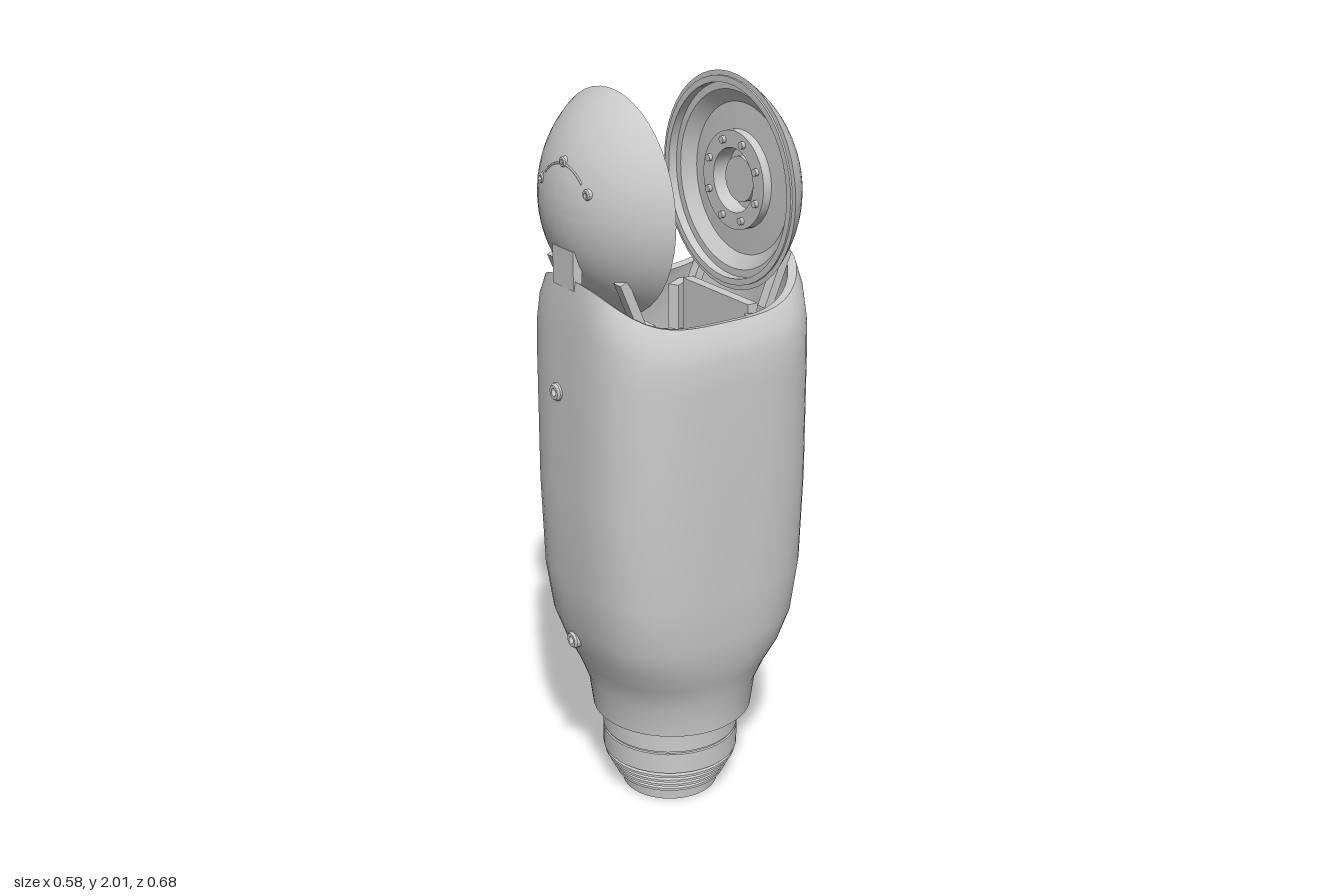
import * as THREE from 'three';
import { toCreasedNormals } from 'three/addons/utils/BufferGeometryUtils.js';

const mat = new THREE.MeshStandardMaterial({ color: 0xcccccc, side: THREE.DoubleSide });
const CX = -0.01; // axis of the neck and domes

function add(parent, name, geo, x = 0, y = 0, z = 0) {
  const m = new THREE.Mesh(geo, mat);
  m.name = name;
  m.position.set(x, y, z);
  parent.add(m);
  return m;
}

const lathe = (pts, seg = 48) =>
  toCreasedNormals(new THREE.LatheGeometry(pts.map(p => new THREE.Vector2(...p)), seg), 0.5);

// Rounded-rectangle rings [y, rx, rz, exponent, rise]; rise lifts the front and back of a ring
function loft(rings, seg = 64) {
  const pos = [], idx = [];
  for (const [y, rx, rz, n, rise] of rings) {
    for (let j = 0; j < seg; j++) {
      const t = j / seg * Math.PI * 2, c = Math.cos(t), s = Math.sin(t);
      const k = Math.pow(Math.abs(c) ** n + Math.abs(s) ** n, -1 / n);
      pos.push(rx * c * k, y + rise * Math.abs(s * k) ** 4, rz * s * k);
    }
  }
  for (let i = 0; i < rings.length - 1; i++) {
    for (let j = 0; j < seg; j++) {
      const a = i * seg + j, b = i * seg + (j + 1) % seg;
      idx.push(a, a + seg, b, b, a + seg, b + seg);
    }
  }
  const g = new THREE.BufferGeometry();
  g.setAttribute('position', new THREE.Float32BufferAttribute(pos, 3));
  g.setIndex(idx);
  return toCreasedNormals(g, 0.6);
}

// Ring-shaped screw with a recessed socket, pointing along +y
const screw = r => lathe([[0, 0], [r * 0.45, 0], [r * 0.45, r * 0.5], [r * 0.8, r * 0.5], [r, r * 0.25], [r, -r]], 12);

// Height of the dome surface at a given radius
const domeZ = r => Math.sqrt(0.34 * 0.34 - r * r) - 0.005;

function dome(back) {
  const g = new THREE.Group();
  g.name = back ? 'backDome' : 'frontDome';
  const profile = [[0, 0.25], [0.085, 0.25], [0.085, 0.2], [0.13, 0.2], [0.13, 0.225], [0.2, 0.228],
    [0.235, 0.2], [0.255, 0.2], [0.255, 0.175], [0.272, 0.175], [0.272, 0.18]];
  for (let i = 0; i <= 12; i++) {
    const r = 0.285 * Math.cos(i / 12 * Math.PI / 2);
    profile.push([r, domeZ(r)]);
  }
  add(g, 'domeShell', lathe(profile).rotateX(Math.PI / 2));

  // Outer screws and engraved arc
  const small = screw(0.014).rotateX(Math.PI / 2);
  for (const a of [0.52, Math.PI / 2, Math.PI - 0.52]) {
    add(g, 'domeScrew', small, 0.12 * Math.cos(a), 0.12 * Math.sin(a), domeZ(0.12));
  }
  const arc = add(g, 'domeArc', new THREE.TorusGeometry(0.115, 0.003, 5, 24, 1.6), 0, 0, domeZ(0.115));
  arc.rotation.z = Math.PI / 2 - 0.8;

  // Inner ring of bolts
  for (let i = 0; i < 8; i++) {
    const a = (i + 0.5) / 8 * Math.PI * 2;
    add(g, 'innerBolt', new THREE.CylinderGeometry(0.01, 0.01, 0.012, 8).rotateX(Math.PI / 2),
      0.108 * Math.cos(a), 0.108 * Math.sin(a), 0.196);
  }

  if (back) {
    // Round cover outside, hub inside
    const pts = [];
    for (let i = 0; i < 40; i++) {
      const a = i / 40 * Math.PI * 2, x = 0.088 * Math.cos(a), y = -0.04 + 0.088 * Math.sin(a);
      pts.push(new THREE.Vector3(x, y, domeZ(Math.hypot(x, y))));
    }
    add(g, 'coverSeam', new THREE.TubeGeometry(new THREE.CatmullRomCurve3(pts, true), 60, 0.003, 5, true));
    for (const y of [-0.07, -0.01]) add(g, 'coverScrew', small, 0, y, domeZ(Math.abs(y)));
    add(g, 'hub', new THREE.CylinderGeometry(0.06, 0.06, 0.03, 24).rotateX(Math.PI / 2), 0, 0, 0.235);
    g.rotation.y = Math.PI;
  }
  g.position.set(CX, 1.72, 0);
  return g;
}

export function createModel() {
  const root = new THREE.Group();

  // Casing: outer wall, sloping rim, inner wall and floor
  add(root, 'casing', loft([
    [0.26, 0.18, 0.18, 2, 0], [0.26, 0.222, 0.222, 2, 0], [0.35, 0.227, 0.232, 2.1, 0],
    [0.42, 0.25, 0.255, 2.3, 0], [0.48, 0.27, 0.28, 2.6, 0], [0.56, 0.281, 0.305, 2.9, 0],
    [0.7, 0.285, 0.323, 3.1, 0], [0.95, 0.286, 0.33, 3.2, 0], [1.28, 0.285, 0.329, 3.2, 0.03],
    [1.35, 0.281, 0.327, 3.2, 0.07], [1.4, 0.268, 0.324, 3.1, 0.095], [1.44, 0.24, 0.318, 3, 0.11],
    [1.435, 0.215, 0.3, 3, 0.105], [1.36, 0.245, 0.3, 3.1, 0.06], [1.2, 0.262, 0.305, 3.2, 0],
    [0.7, 0.262, 0.3, 3.1, 0], [0.45, 0.22, 0.225, 2.3, 0], [0.3, 0.2, 0.2, 2, 0], [0.3, 0.11, 0.11, 2, 0],
  ]));

  // Neck with thread ridges
  const neck = [[0.11, 0], [0.135, 0], [0.138, 0.035]];
  for (let i = 0; i < 4; i++) {
    const y = 0.035 + i * 0.02, r = 0.155 + i * 0.01;
    neck.push([r - 0.012, y], [r, y + 0.004], [r, y + 0.011], [r - 0.012, y + 0.016]);
  }
  neck.push([0.165, 0.115], [0.19, 0.118], [0.19, 0.178], [0.186, 0.18], [0.186, 0.184], [0.19, 0.186],
    [0.19, 0.3], [0.11, 0.3], [0.11, 0]);
  add(root, 'threadedNeck', lathe(neck), CX);
  add(root, 'neckKey', new THREE.BoxGeometry(0.04, 0.04, 0.03), CX, 0.022, 0.11);

  // Inner mounting ring with a flat-sided hole
  const ring = new THREE.Shape().absarc(0, 0, 0.205, 0, Math.PI * 2);
  const hole = new THREE.Path().absarc(0, 0, 0.11, Math.PI - 0.75, Math.PI * 2 + 0.75);
  ring.holes.push(hole);
  const plate = new THREE.ExtrudeGeometry(ring, { depth: 0.05, bevelEnabled: false, curveSegments: 32 });
  add(root, 'mountingRing', plate.rotateX(Math.PI / 2), CX, 1.26, 0);
  add(root, 'ringLip', lathe([[0.19, 0], [0.21, 0], [0.21, 0.03], [0.19, 0.03], [0.19, 0]]), CX, 1.255);
  for (let i = 0; i < 8; i++) {
    const a = (i + 0.5) / 8 * Math.PI * 2;
    add(root, 'ringBolt', screw(0.022), CX + 0.168 * Math.cos(a), 1.26, 0.168 * Math.sin(a));
  }
  add(root, 'boss', new THREE.CylinderGeometry(0.04, 0.045, 0.06, 6), CX, 1.28, 0.14);

  // Yoke plates, corner gussets and dome struts on both sides
  for (const s of [1, -1]) {
    add(root, 'yokePlate', new THREE.BoxGeometry(0.29, 0.18, 0.03), CX, 1.34, s * 0.16);
    for (const e of [1, -1]) {
      add(root, 'gusset', new THREE.BoxGeometry(0.03, 0.16, 0.08), CX + e * 0.18, 1.33, s * 0.16).rotation.y = s * e * 0.5;
      const strut = add(root, 'domeStrut', new THREE.BoxGeometry(0.03, 0.16, 0.025), CX + e * 0.155, 1.49, s * 0.222);
      strut.rotation.x = s * 0.4;
    }
    // Casing screws
    for (const y of [1.24, 0.515]) {
      const m = add(root, 'casingScrew', screw(0.024), -0.04, y, s * (y > 1 ? 0.329 : 0.294));
      m.rotation.x = s * Math.PI / 2;
    }
  }
  add(root, 'latchTab', new THREE.BoxGeometry(0.095, 0.1, 0.025), CX, 1.575, 0.31);

  root.add(dome(false), dome(true));
  return root;
}
